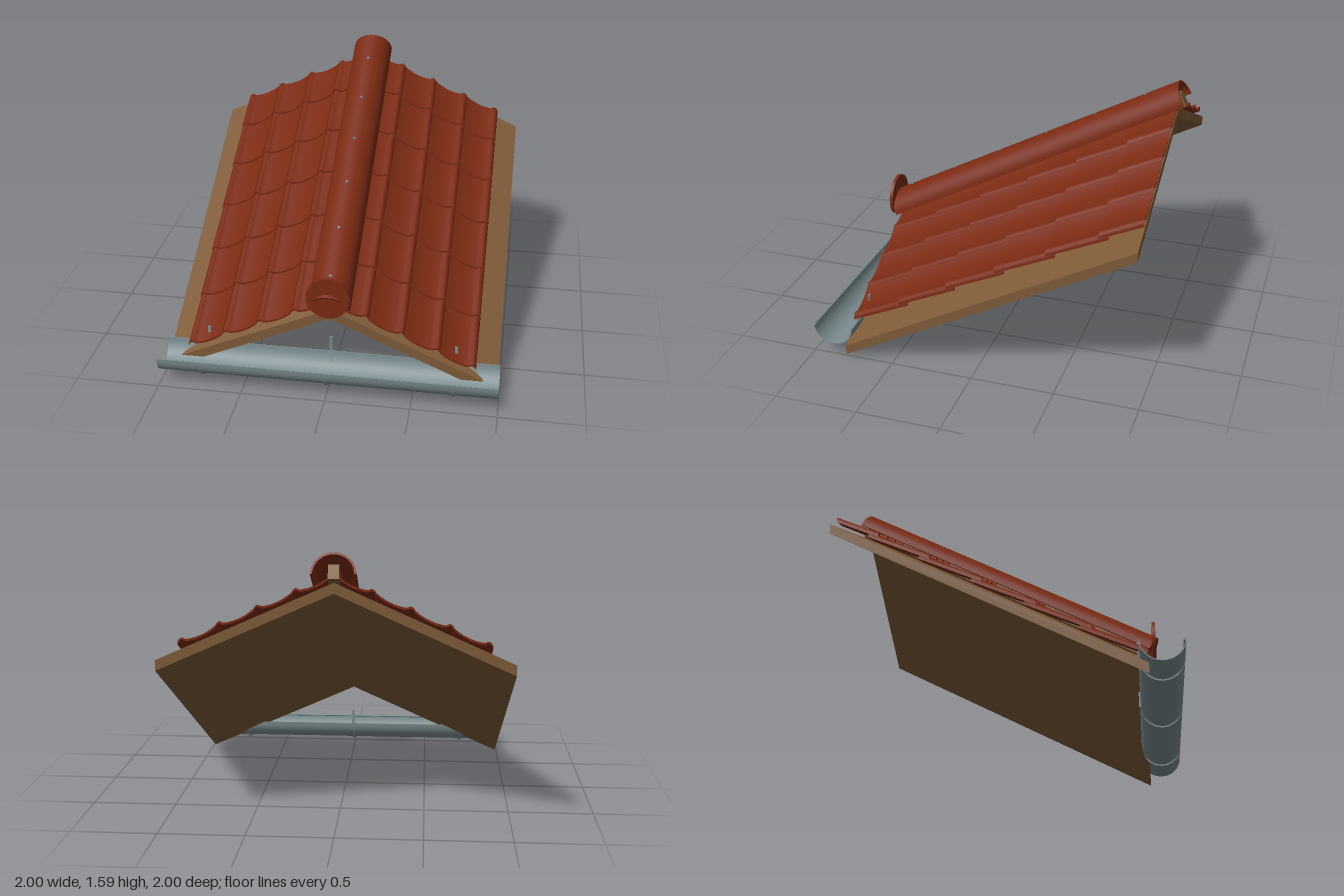
import * as THREE from 'three';
import { toCreasedNormals } from 'three/addons/utils/BufferGeometryUtils.js';

const GRADE = 0.531;          // rise of the ridge towards the back
const PITCH = 0.44 / 0.99;    // fall from the ridge to the sides
const FRONT = 0.8, BACK = -0.95;

const mat = (name, color) => Object.assign(new THREE.MeshStandardMaterial({ color }), { name });

function shapeFrom(points) {
  return new THREE.Shape(points.map(([x, y]) => new THREE.Vector2(x, y)));
}

// Extrude a section backwards from zFront, sheared so that it climbs with the given grade
function slopedGeometry(points, zFront, length, grade) {
  const g = new THREE.ExtrudeGeometry(shapeFrom(points), { depth: length, bevelEnabled: false });
  g.translate(0, 0, zFront - length);
  const p = g.attributes.position;
  for (let i = 0; i < p.count; i++) p.setY(i, p.getY(i) + grade * (zFront - p.getZ(i)));
  return toCreasedNormals(g, 0.7);
}

// Half ring section, open side up (side = -1) or down (side = 1)
function halfRing(rx, ry, thick, side, steps = 20) {
  const arc = (a, b) => Array.from({ length: steps + 1 }, (_, i) => {
    const t = Math.PI * i / steps;
    return [a * Math.cos(t), side * b * Math.sin(t)];
  });
  return [...arc(rx, ry), ...arc(rx - thick, ry - thick).reverse()];
}

// Section in (z, y) extruded along x and centred on x
function alongX(points, width) {
  const g = new THREE.ExtrudeGeometry(shapeFrom(points), { depth: width, bevelEnabled: false });
  g.translate(0, 0, -width / 2).rotateY(-Math.PI / 2);
  return toCreasedNormals(g, 0.6);
}

export function createModel() {
  const root = new THREE.Group();
  root.name = 'roofSection';
  const clay = mat('clay', 0x7a2a12);
  const wood = mat('wood', 0x7d5a37);
  const zinc = mat('zinc', 0x7c8d90);
  const add = (parent, name, geometry, material, x = 0, y = 0, z = 0) => {
    const m = new THREE.Mesh(geometry, material);
    m.name = name;
    m.position.set(x, y, z);
    parent.add(m);
    return m;
  };

  // Wooden deck: one board on each side of the ridge
  for (const s of [1, -1]) {
    const section = [[0, 0.44], [s * 0.99, 0], [s * 0.99, 0.06], [0, 0.5]];
    add(root, s > 0 ? 'leftDeck' : 'rightDeck', slopedGeometry(section, FRONT, FRONT - BACK, GRADE), wood);
  }

  // Pantiles: a shallow pan with a roll at the outer edge (share of width, height above deck)
  const profile = [[0, 0.066], [0.1, 0.058], [0.25, 0.051], [0.4, 0.049], [0.55, 0.051], [0.7, 0.057],
    [0.79, 0.063], [0.84, 0.073], [0.89, 0.08], [0.94, 0.079], [0.98, 0.073], [1, 0.062]];
  const tileWidth = 0.21, tileThick = 0.013;
  const tiles = new THREE.Group();
  tiles.name = 'tiles';
  root.add(tiles);
  for (const s of [1, -1]) {
    for (let col = 0; col < 4; col++) {
      const inner = 0.02 + col * tileWidth;
      const top = profile.map(([u, h]) => {
        const x = inner + u * tileWidth;
        return [s * x, 0.5 - PITCH * x + h];
      });
      const under = top.map(([x, y]) => [x, y - tileThick]).reverse();
      for (let row = 0; row < 6; row++) {
        const zFront = FRONT - row * 0.3;
        const length = Math.min(0.36, zFront - BACK);
        const g = slopedGeometry([...top, ...under], zFront, length, GRADE - 0.075);
        add(tiles, 'tile', g, clay, 0, GRADE * row * 0.3, 0);
      }
    }
  }

  // Ridge: half-round cap over a batten, fixed with screws
  const ridge = new THREE.Group();
  ridge.name = 'ridge';
  ridge.position.set(0, 0.515, 0.82);
  ridge.rotation.x = Math.atan(GRADE);
  root.add(ridge);
  add(ridge, 'ridgeCap', slopedGeometry(halfRing(0.125, 0.125, 0.012, 1, 28), 0, 2.061, 0), clay);
  add(ridge, 'ridgeBatten', new THREE.BoxGeometry(0.06, 0.083, 2.0), wood, 0, 0.0185, -1.049);
  for (let i = 0; i < 6; i++) {
    const along = (0.879 - (0.75 - i * 0.3)) / 0.883;
    add(ridge, 'ridgeScrew', new THREE.CylinderGeometry(0.008, 0.008, 0.012, 10), zinc, 0, 0.128, -along);
  }

  // Round plate closing the front of the ridge
  const disc = new THREE.CylinderGeometry(0.128, 0.128, 0.02, 40).rotateX(Math.PI / 2);
  add(root, 'ridgeEndDisc', disc, clay, 0, 0.607, 0.851);

  // Half-round gutter with a beaded front lip
  const gutter = new THREE.Group();
  gutter.name = 'gutter';
  gutter.position.set(0, 0.188, 0.875);
  root.add(gutter);
  add(gutter, 'gutterTrough', alongX(halfRing(0.125, 0.123, 0.005, -1), 2), zinc);
  const bead = new THREE.CylinderGeometry(0.007, 0.007, 2, 10).rotateZ(Math.PI / 2);
  add(gutter, 'gutterLip', bead, zinc, 0, -0.007, 0.117);

  // Gutter brackets: strap below the trough and an upright leg with a screw
  for (const x of [-0.74, 0, 0.74]) {
    const bracket = new THREE.Group();
    bracket.name = 'gutterBracket';
    bracket.position.x = x;
    gutter.add(bracket);
    add(bracket, 'bracketStrap', alongX(halfRing(0.125, 0.136, 0.008, -1, 10), 0.018), zinc);
    add(bracket, 'bracketLeg', new THREE.BoxGeometry(0.018, 0.097, 0.008), zinc, 0, 0.048, -0.128);
    const screw = new THREE.CylinderGeometry(0.009, 0.009, 0.012, 10).rotateX(Math.PI / 2);
    add(bracket, 'bracketScrew', screw, zinc, 0, 0.087, -0.128);
  }
  return root;
}
